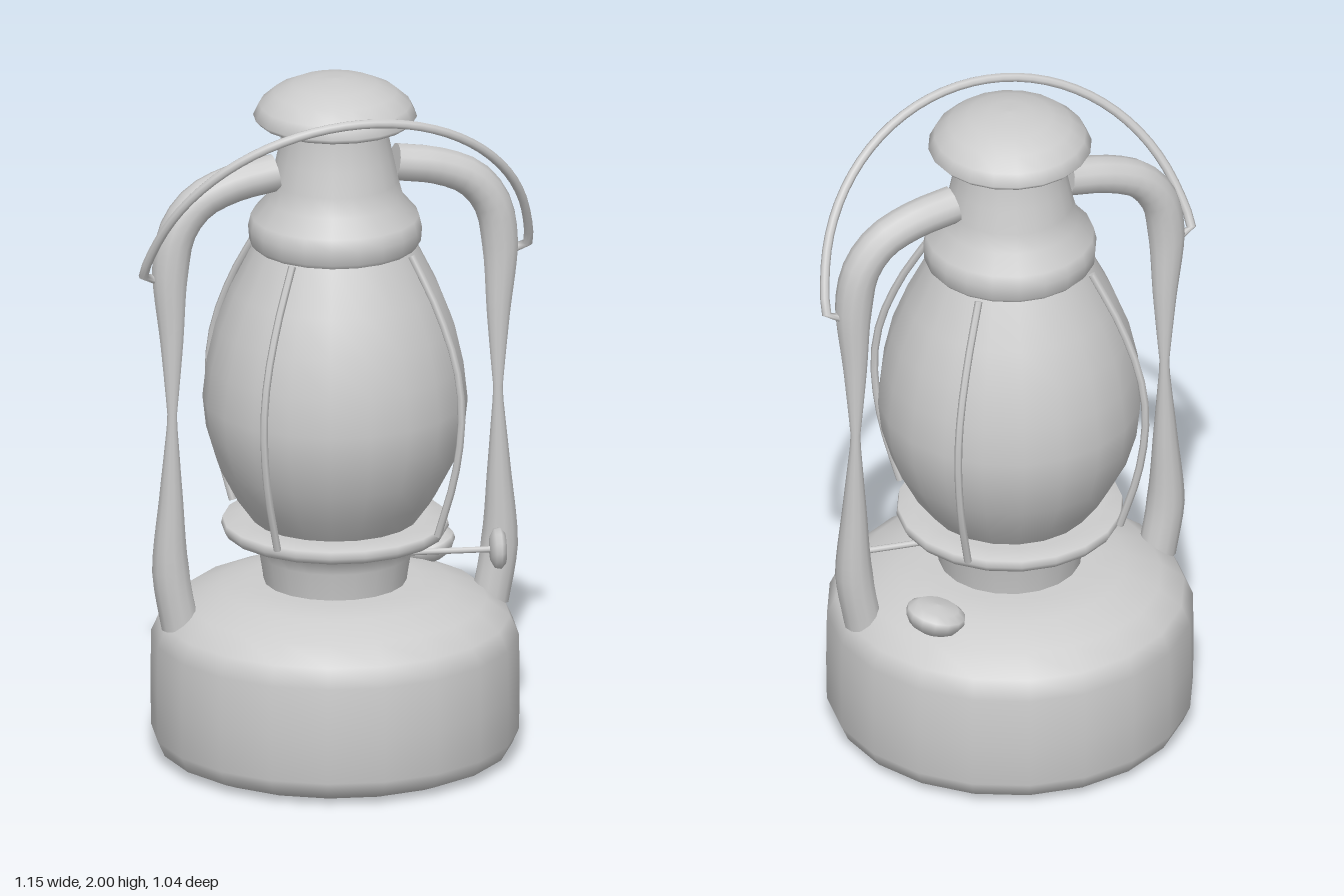
import * as THREE from 'three';

const metal = new THREE.MeshStandardMaterial({ color: 0xcccccc });
metal.name = 'plain grey';

const V = (x, y, z) => new THREE.Vector3(x, y, z);

function mesh(name, geometry) {
  const m = new THREE.Mesh(geometry, metal);
  m.name = name;
  return m;
}

// Turned part from a bottom-to-top profile of [radius, height]
function turned(name, profile, sides = 20) {
  const pts = profile.map(([r, y]) => new THREE.Vector2(r, y));
  return mesh(name, new THREE.LatheGeometry(pts, sides));
}

// Capped tube along a curve, its radius given by a function of the centre point
function rod(name, points, radiusAt, segments, sides) {
  const group = new THREE.Group();
  group.name = name;
  const curve = new THREE.CatmullRomCurve3(points);
  const geo = new THREE.TubeGeometry(curve, segments, 1, sides);
  const pos = geo.attributes.position;
  const v = V(0, 0, 0);
  for (let i = 0; i < pos.count; i++) {
    const c = curve.getPointAt(Math.floor(i / (sides + 1)) / segments);
    v.fromBufferAttribute(pos, i).sub(c).multiplyScalar(radiusAt(c)).add(c);
    pos.setXYZ(i, v.x, v.y, v.z);
  }
  geo.computeBoundingSphere();
  group.add(mesh(name + 'Tube', geo));
  for (const t of [0, 1]) {
    const c = curve.getPointAt(t);
    const out = curve.getTangentAt(t).multiplyScalar(t ? 1 : -1);
    const cap = mesh(name + 'End', new THREE.CircleGeometry(radiusAt(c), sides));
    cap.position.copy(c);
    cap.lookAt(c.clone().add(out));
    group.add(cap);
  }
  return group;
}

export function createModel() {
  const lantern = new THREE.Group();
  lantern.name = 'lantern';

  // Fuel tank
  lantern.add(turned('fuelTank', [
    [0, 0], [0.45, 0.004], [0.5, 0.025], [0.52, 0.07], [0.522, 0.2], [0.52, 0.35],
    [0.495, 0.405], [0.43, 0.455], [0.33, 0.495], [0.24, 0.51], [0, 0.512],
  ]));

  // Burner neck with its flange
  lantern.add(turned('burner', [
    [0.2, 0.49], [0.205, 0.53], [0.215, 0.59], [0.225, 0.64], [0.27, 0.648],
    [0.312, 0.655], [0.322, 0.672], [0.318, 0.692], [0.26, 0.697], [0, 0.698],
  ]));

  // Glass globe
  lantern.add(turned('globe', [
    [0.23, 0.69], [0.285, 0.765], [0.335, 0.86], [0.365, 0.96], [0.375, 1.05],
    [0.363, 1.16], [0.338, 1.27], [0.295, 1.38], [0.23, 1.51],
  ]));

  // Chimney and hood
  lantern.add(turned('chimney', [
    [0, 1.497], [0.225, 1.5], [0.243, 1.52], [0.246, 1.56], [0.238, 1.595], [0.195, 1.645],
    [0.18, 1.7], [0.165, 1.77], [0.152, 1.83], [0.15, 1.885],
  ]));
  lantern.add(turned('chimneyCap', [
    [0, 1.872], [0.18, 1.868], [0.218, 1.875], [0.232, 1.89], [0.215, 1.925],
    [0.175, 1.96], [0.12, 1.985], [0.06, 1.997], [0, 2],
  ]));

  // Guard wires on the four diagonals
  const wire = [[0.175, 1.51], [0.235, 1.36], [0.278, 1.2], [0.29, 1.06], [0.275, 0.88], [0.235, 0.69]];
  for (const sx of [-1, 1]) for (const sz of [-1, 1]) {
    lantern.add(rod('guardWire', wire.map(([d, y]) => V(sx * d, y, sz * d)), () => 0.011, 12, 6));
  }

  // Side arms, pinched halfway down
  const arm = [
    [0.175, 1.735], [0.3, 1.712], [0.4, 1.667], [0.46, 1.59], [0.483, 1.48],
    [0.479, 1.25], [0.478, 1.03], [0.481, 0.8], [0.482, 0.57], [0.455, 0.41],
  ];
  const pinch = (c) => 0.013 + 0.041 * Math.min(1, Math.abs(c.y - 1.03) / 0.45);
  for (const s of [-1, 1]) {
    lantern.add(rod('sideArm', arm.map(([x, y]) => V(s * x, y, 0)), pinch, 36, 12));
  }

  // Carrying handle leaning forward, its ends hooked inward
  const bail = [V(-0.53, 1.448, 0)];
  for (let i = 0; i <= 12; i++) {
    const a = Math.PI * (1 - i / 12);
    bail.push(V(0.56 * Math.cos(a), 1.45 + 0.495 * Math.sin(a), 0.262 * Math.sin(a)));
  }
  bail.push(V(0.53, 1.448, 0));
  lantern.add(rod('handle', bail, () => 0.0135, 40, 8));

  // Filler cap
  const filler = turned('fillerCap', [
    [0, -0.042], [0.045, -0.04], [0.07, -0.026], [0.086, 0], [0.084, 0.018], [0.06, 0.034], [0, 0.04],
  ], 14);
  filler.position.set(0.325, 0.513, -0.21);
  filler.rotation.z = 0.25;
  lantern.add(filler);

  // Wick adjuster: shaft and knob
  lantern.add(rod('wickShaft', [V(0.18, 0.585, 0.05), V(0.32, 0.585, 0.07), V(0.45, 0.585, 0.09)], () => 0.009, 4, 8));
  const knob = turned('wickKnob', [
    [0, -0.024], [0.035, -0.022], [0.057, -0.01], [0.06, 0.006], [0.045, 0.02], [0, 0.024],
  ], 12);
  knob.position.set(0.453, 0.587, 0.09);
  knob.rotation.set(0, -0.15, -Math.PI / 2);
  lantern.add(knob);

  return lantern;
}
